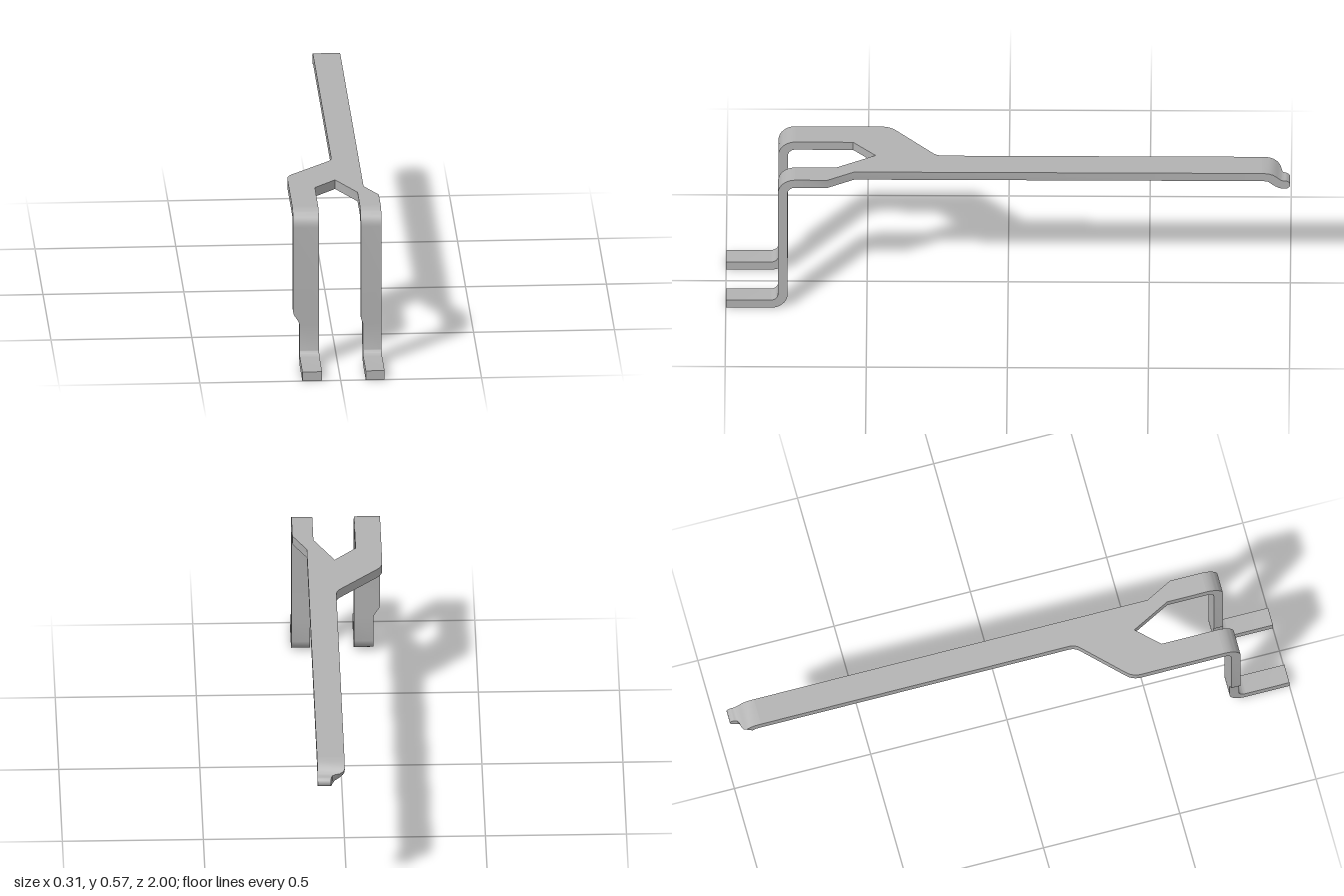
import * as THREE from 'three';
import { toCreasedNormals } from 'three/addons/utils/BufferGeometryUtils.js';

const H = 0.017; // half the sheet thickness
const TOP = 0.57;

// Solid strip through stations { z, y, n: [nz, ny], x0, x1, h } along a bent centreline
function strip(stations) {
  const rings = stations.map(({ z, y, n, x0, x1, h = H }) => {
    const at = (x, s) => [x, y + n[1] * h * s, z + n[0] * h * s];
    return [at(x0, 1), at(x1, 1), at(x1, -1), at(x0, -1)];
  });
  const pos = [];
  const quad = (a, b, c, d) => pos.push(...a, ...b, ...c, ...a, ...c, ...d);
  for (let i = 0; i < rings.length - 1; i++) {
    const r = rings[i], s = rings[i + 1];
    for (let k = 0; k < 4; k++) {
      const m = (k + 1) % 4;
      quad(r[k], s[k], s[m], r[m]);
    }
  }
  quad(...rings[0]);
  quad(...rings[rings.length - 1].slice().reverse());
  const g = new THREE.BufferGeometry();
  g.setAttribute('position', new THREE.Float32BufferAttribute(pos, 3));
  return toCreasedNormals(g, 0.6);
}

// Leg: upper bend, upright with a shoulder on its -x edge, lower bend, foot
function legGeometry(x0, x1, footX0, shoulderTop) {
  const R = 0.043, N = 10, out = [];
  for (let i = 0; i <= N; i++) {
    const t = (i / N) * Math.PI / 2, s = Math.sin(t), c = Math.cos(t);
    out.push({ z: 0.755 + R * s, y: TOP - H - R + R * c, n: [s, c], x0, x1 });
  }
  for (let i = 0; i <= 8; i++) {
    const t = i / 8, f = t * t * (3 - 2 * t);
    out.push({ z: 0.798, y: shoulderTop + (0.148 - shoulderTop) * t, n: [1, 0], x0: x0 + (footX0 - x0) * f, x1 });
  }
  for (let i = 0; i <= N; i++) {
    const t = (i / N) * Math.PI / 2, s = Math.sin(t), c = Math.cos(t);
    out.push({ z: 0.841 - R * c, y: H + R - R * s, n: [c, s], x0: footX0, x1 });
  }
  out.push({ z: 1, y: H, n: [0, 1], x0: footX0, x1 });
  return strip(out);
}

// Forked flat plate, drawn in x and -z
function plateGeometry() {
  const s = new THREE.Shape();
  s.moveTo(0.107, 0.9);
  s.lineTo(0.01, 0.9);
  s.lineTo(0.01, -0.23);
  s.quadraticCurveTo(0.01, -0.25, -0.003, -0.265);
  s.lineTo(-0.138, -0.4);
  s.quadraticCurveTo(-0.158, -0.42, -0.158, -0.45);
  const corners = [
    [-0.158, -0.755], [-0.066, -0.755], [-0.066, -0.55], [0.01, -0.47], [0.082, -0.61],
    [0.082, -0.755], [0.156, -0.755], [0.156, -0.64], [0.107, -0.545],
  ];
  corners.forEach(([x, y]) => s.lineTo(x, y));
  const g = new THREE.ExtrudeGeometry(s, { depth: 2 * H, bevelEnabled: false, curveSegments: 6 });
  g.rotateX(-Math.PI / 2);
  g.translate(0, TOP - 2 * H, 0);
  return toCreasedNormals(g, 0.5);
}

// Stepped-down, narrowed tip with a rounded end: [z, y, slope angle, left edge, half thickness]
function tipGeometry() {
  const rows = [
    [-1, 0.52, 0, 0.06, 0.004], [-0.996, 0.52, 0, 0.06, 0.011], [-0.99, 0.52, 0, 0.059, 0.0155],
    [-0.982, 0.52, 0, 0.057, H], [-0.972, 0.52, 0.15, 0.054, H], [-0.964, 0.523, 0.4, 0.045, H],
    [-0.957, 0.527, 0.65, 0.028, H], [-0.95, 0.532, 0.75, 0.016, H], [-0.942, 0.539, 0.75, 0.01, H],
    [-0.932, 0.547, 0.55, 0.01, H], [-0.92, 0.5515, 0.25, 0.01, H], [-0.9, 0.553, 0, 0.01, H],
  ];
  return strip(rows.map(([z, y, a, x0, h]) => ({ z, y, n: [-Math.sin(a), Math.cos(a)], x0, x1: 0.107, h })));
}

export function createModel() {
  const metal = new THREE.MeshStandardMaterial({ color: 0xb2b2b2 });
  metal.name = 'grey metal';
  const model = new THREE.Group();
  model.name = 'bentTerminal';
  const add = (name, geometry) => {
    const mesh = new THREE.Mesh(geometry, metal);
    mesh.name = name;
    model.add(mesh);
  };
  add('forkedPlate', plateGeometry());
  add('rightLeg', legGeometry(-0.158, -0.066, -0.136, 0.195));
  add('leftLeg', legGeometry(0.082, 0.156, 0.089, 0.172));
  add('contactTip', tipGeometry());
  return model;
}
